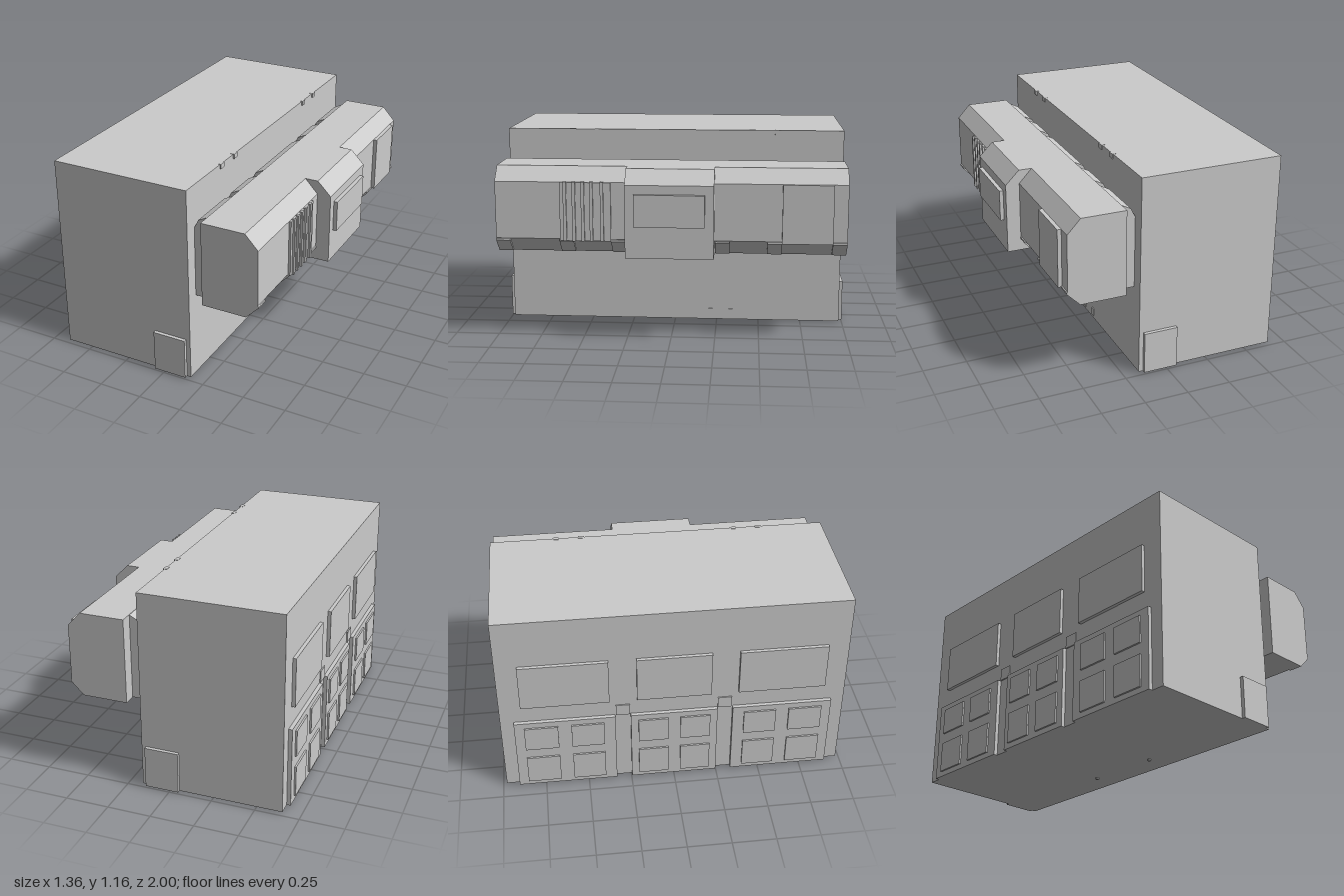
import * as THREE from 'three';

const mat = new THREE.MeshStandardMaterial({ color: 0xcccccc, flatShading: true });

export function createModel() {
  const model = new THREE.Group();

  const add = (name, geometry) => {
    const mesh = new THREE.Mesh(geometry, mat);
    mesh.name = name;
    model.add(mesh);
    return mesh;
  };
  // Box given by its limits on each axis
  const box = (name, x0, x1, y0, y1, z0, z1) =>
    add(name, new THREE.BoxGeometry(x1 - x0, y1 - y0, z1 - z0)
      .translate((x0 + x1) / 2, (y0 + y1) / 2, (z0 + z1) / 2));
  // Profile in x, y run along z
  const prism = (name, points, z0, z1) => {
    const shape = new THREE.Shape(points.map(([x, y]) => new THREE.Vector2(x, y)));
    const geometry = new THREE.ExtrudeGeometry(shape, { depth: z1 - z0, bevelEnabled: false });
    return add(name, geometry.translate(0, 0, z0));
  };

  // Main building block
  box('mainBlock', -0.65, 0.165, 0.01, 1.155, -0.98, 0.98);

  // Overhanging upper storey with chamfered edges
  prism('overhang', [
    [0.245, 0.5], [0.492, 0.5], [0.575, 0.588], [0.575, 0.91], [0.5, 0.99], [0.245, 0.99],
  ], -0.98, 0.98);

  // Connecting pieces with slots between them
  const link = [[0.16, 0.5], [0.25, 0.5], [0.25, 0.99], [0.19, 0.96], [0.16, 0.9]];
  for (const [z0, z1] of [[-0.905, -0.62], [-0.54, -0.33], [-0.245, 0.245], [0.33, 0.54], [0.62, 0.905]])
    prism('connector', link, z0, z1);

  // Central bay and its window
  prism('bay', [
    [0.4, 0.5], [0.655, 0.5], [0.655, 0.91], [0.575, 0.99], [0.4, 0.99],
  ], -0.245, 0.245);
  box('bayWindow', 0.65, 0.677, 0.68, 0.86, -0.195, 0.195);

  // Brackets and lower bars on the underside chamfer
  const bracket = [[0.47, 0.5], [0.505, 0.5], [0.58, 0.575], [0.58, 0.585], [0.55, 0.59]];
  for (const s of [-1, 1]) {
    for (const c of [0.94, 0.58, 0.29])
      prism('bracket', bracket, s * c - 0.04, s * c + 0.04);
  }

  // Plain panel and ribbed shutter on the overhang
  box('sidePanel', 0.57, 0.597, 0.58, 0.91, -0.9, -0.62);
  box('shutter', 0.57, 0.588, 0.58, 0.91, 0.33, 0.615);
  for (const z of [0.585, 0.535, 0.485, 0.437, 0.378])
    box('shutterRib', 0.58, 0.6, 0.58, 0.915, z - 0.009, z + 0.009);

  // Garage doors with four raised panels each, and windows above
  const doors = [
    { z: [-0.905, -0.335], panels: [[-0.85, -0.66], [-0.585, -0.4]], win: [-0.86, -0.365] },
    { z: [-0.247, 0.247], panels: [[-0.205, -0.035], [0.035, 0.205]], win: [-0.21, 0.21] },
    { z: [0.335, 0.905], panels: [[0.4, 0.585], [0.66, 0.85]], win: [0.365, 0.86] },
  ];
  for (const { z, panels, win } of doors) {
    box('garageDoor', -0.672, -0.64, 0.01, 0.475, ...z);
    for (const p of panels)
      for (const [y0, y1] of [[0.04, 0.22], [0.285, 0.44]])
        box('doorPanel', -0.682, -0.66, y0, y1, ...p);
    box('window', -0.67, -0.64, 0.585, 0.865, ...win);
  }
  // Lamps between the doors
  for (const z of [-0.29, 0.29])
    box('lamp', -0.657, -0.64, 0.475, 0.545, z - 0.04, z + 0.04);

  // Plates at the two ends, small roof-edge clips and pins below
  for (const s of [-1, 1]) {
    const z = s * 0.985;
    box('endPlate', -0.055, 0.14, 0.01, 0.25, z - 0.015, z + 0.015);
    for (const c of [0.45, 0.6])
      box('edgeClip', 0.15, 0.172, 1.13, 1.157, s * c - 0.018, s * c + 0.018);
    add('footPin', new THREE.CylinderGeometry(0.01, 0.01, 0.02, 10).translate(0.02, 0.01, s * 0.22));
  }
  for (const z of [-0.215, -0.335])
    box('wallPin', 0.15, 0.171, 0.03, 0.075, z - 0.012, z + 0.012);

  return model;
}
